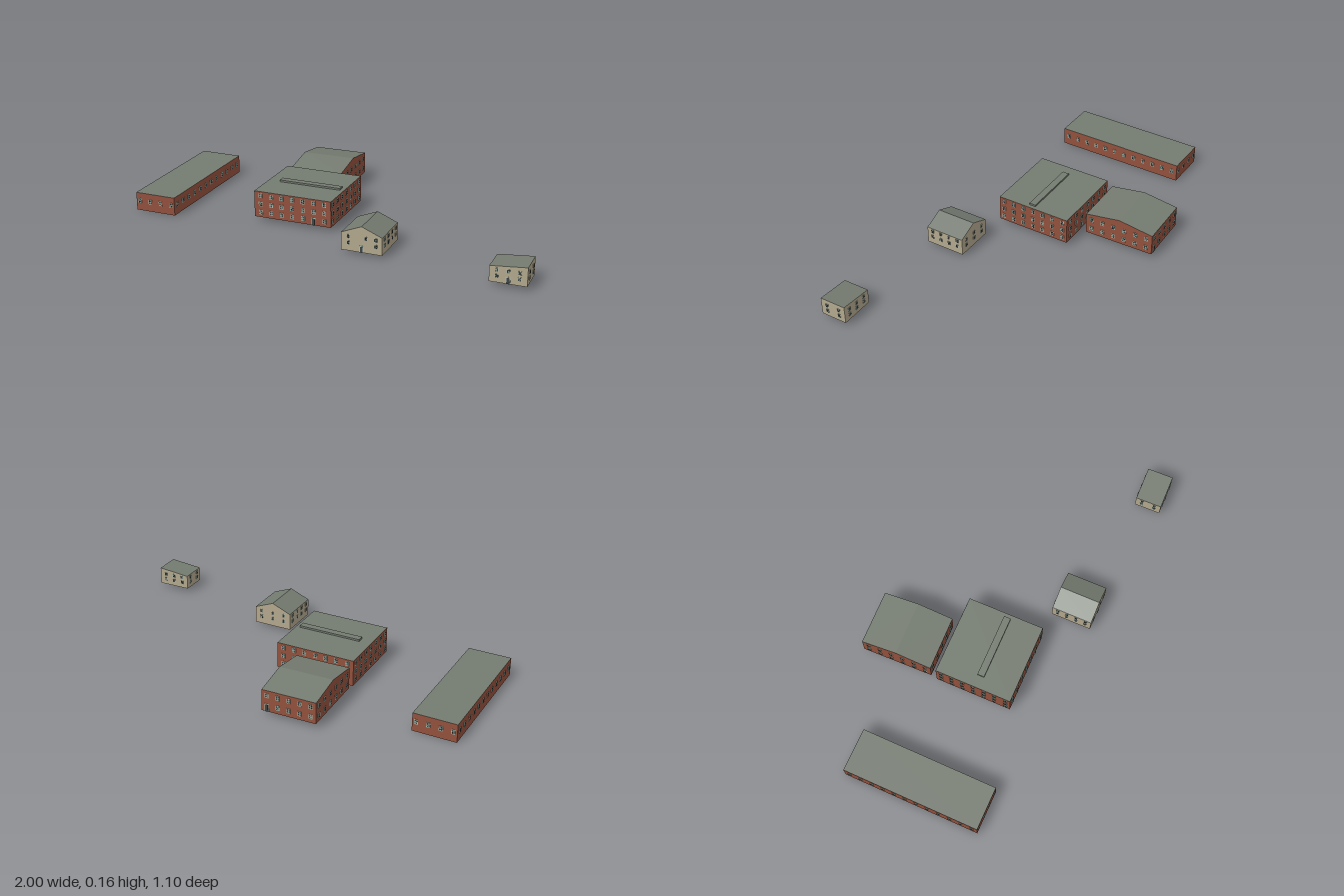
import * as THREE from 'three';
import { mergeGeometries } from 'three/addons/utils/BufferGeometryUtils.js';

const flat = (name, color) =>
  new THREE.MeshStandardMaterial({ name, color, side: THREE.DoubleSide });

// Vertical or sloping quad from four corners
function quad(a, b, c, d) {
  const g = new THREE.BufferGeometry();
  g.setAttribute('position', new THREE.Float32BufferAttribute([...a, ...b, ...c, ...a, ...c, ...d], 3));
  g.computeVertexNormals();
  return g;
}

// Cross-section [x, y] points run along the roof from left to right
function shell(profile, depth, base) {
  const walls = [], roof = [], h = depth / 2;
  for (let i = 0; i < profile.length - 1; i++) {
    const [x0, y0] = profile[i], [x1, y1] = profile[i + 1];
    walls.push(quad([x0, base, h], [x1, base, h], [x1, y1, h], [x0, y0, h]));
    walls.push(quad([x1, base, -h], [x0, base, -h], [x0, y0, -h], [x1, y1, -h]));
    roof.push(quad([x0, y0, h], [x1, y1, h], [x1, y1, -h], [x0, y0, -h]));
  }
  const [xl, yl] = profile[0], [xr, yr] = profile[profile.length - 1];
  walls.push(quad([xr, base, h], [xr, base, -h], [xr, yr, -h], [xr, yr, h]));
  walls.push(quad([xl, base, -h], [xl, base, h], [xl, yl, h], [xl, yl, -h]));
  return { walls: mergeGeometries(walls), roof: mergeGeometries(roof) };
}

// n evenly spaced positions across a wall
const spread = (n, width) => Array.from({ length: n }, (_, i) => ((i + 0.5) / n - 0.5) * width);

export function createModel() {
  const brick = flat('brick', 0x92503c);
  const cream = flat('cream render', 0xb3a88e);
  const slate = flat('roof grey', 0x747b70);
  const frame = flat('window frame', 0xa8bcb0);
  const glass = flat('dark glass', 0x3f4542);
  const model = new THREE.Group();

  function building(o) {
    const group = new THREE.Group();
    group.name = o.name;
    group.position.set(o.x, 0, o.z);
    group.rotation.y = o.turn;
    const add = (name, geometry, material) => {
      const mesh = new THREE.Mesh(geometry, material);
      mesh.name = name;
      group.add(mesh);
    };
    const w = o.width, d = o.depth;
    const { walls, roof } = shell(o.profile, d, o.base);
    add('walls', walls, o.material);
    add('roof', roof, slate);

    // Windows and doors, facade by facade: front, +x, back, -x
    const frames = [], panes = [];
    const plate = (list, side, x, y, pw, ph, lift) => {
      const g = new THREE.BoxGeometry(pw, ph, 0.002);
      g.translate(x, y, (side % 2 ? w : d) / 2 + lift);
      g.rotateY(side * Math.PI / 2);
      list.push(g);
    };
    const [ww, wh] = o.window, bar = o.bar;
    const makeWindow = (side, x, y) => {
      plate(frames, side, x, y, ww, wh, 0.001);
      const pw = (ww - 3 * bar) / 2, ph = (wh - 3 * bar) / 2;
      for (const sx of [-1, 1]) for (const sy of [-1, 1])
        plate(panes, side, x + sx * (pw + bar) / 2, y + sy * (ph + bar) / 2, pw, ph, 0.002);
    };
    o.facades.forEach((columns, side) => {
      const doorAt = o.doors?.[side];
      o.rows.forEach((y, row) => {
        for (const x of columns)
          if (row > 0 || doorAt === undefined || Math.abs(x - doorAt) > 0.022) makeWindow(side, x, y);
      });
      if (doorAt !== undefined) {
        const h = o.doorHeight;
        plate(frames, side, doorAt, o.base + h / 2, 0.02, h, 0.001);
        plate(panes, side, doorAt, o.base + h * 0.45, 0.013, h * 0.85, 0.002);
      }
    });
    add('frames', mergeGeometries(frames), frame);
    add('panes', mergeGeometries(panes), glass);
    model.add(group);
    return group;
  }

  // Long single-storey block
  const longSide = spread(12, 0.676), longEnd = spread(4, 0.23);
  building({
    name: 'longBlock', x: -0.877, z: -0.048, turn: -0.046, width: 0.211, depth: 0.676, base: 0,
    profile: [[-0.1055, 0.09], [0.1055, 0.09]], material: brick,
    facades: [longEnd, longSide, longEnd, longSide], rows: [0.05], window: [0.018, 0.024], bar: 0.003,
  });

  // Three-storey main block with a raised roof strip
  const seven = spread(7, 0.385);
  const main = building({
    name: 'mainBlock', x: -0.195, z: 0.029, turn: -0.036, width: 0.395, depth: 0.38, base: 0.02,
    profile: [[-0.1975, 0.15], [0.1975, 0.15]], material: brick,
    facades: [seven, seven, seven, seven], rows: [0.046, 0.087, 0.13], window: [0.019, 0.023], bar: 0.003,
    doors: [seven[5]], doorHeight: 0.038,
  });
  const strip = new THREE.Mesh(new THREE.BoxGeometry(0.315, 0.009, 0.034), slate);
  strip.name = 'roofStrip';
  strip.position.set(0.02, 0.1545, 0.015);
  main.add(strip);

  // Two-storey gabled hall, ridge running across
  const six = spread(6, 0.35), five = spread(5, 0.27);
  building({
    name: 'gabledHall', x: -0.243, z: -0.373, turn: Math.PI / 2 - 0.014, width: 0.352, depth: 0.268, base: 0.024,
    profile: [[-0.176, 0.13], [0, 0.157], [0.176, 0.13]], material: brick,
    facades: [six, five, six, five], rows: [0.055, 0.105], window: [0.019, 0.023], bar: 0.003,
    doors: [undefined, five[0]], doorHeight: 0.04,
  });

  // Small gabled house
  const four = spread(4, 0.19), three = [-0.062, 0.022, 0.068];
  building({
    name: 'gabledHouse', x: 0.224, z: 0.331, turn: -0.04, width: 0.197, depth: 0.2, base: 0.013,
    profile: [[-0.0985, 0.098], [0, 0.138], [0.0985, 0.098]], material: cream,
    facades: [three, four, spread(3, 0.19), four], rows: [0.052, 0.083], window: [0.015, 0.018], bar: 0.0015,
    doors: [0], doorHeight: 0.032,
  });

  // Small house with a single-pitch roof
  const pair = spread(2, 0.13), trio = spread(3, 0.15);
  building({
    name: 'slopedHouse', x: 0.914, z: 0.478, turn: -0.025, width: 0.167, depth: 0.13, base: 0.02,
    profile: [[-0.0835, 0.092], [0.0835, 0.108]], material: cream,
    facades: [trio, pair, trio, pair], rows: [0.05, 0.078], window: [0.015, 0.018], bar: 0.0015,
    doors: [0], doorHeight: 0.032,
  });

  return model;
}
